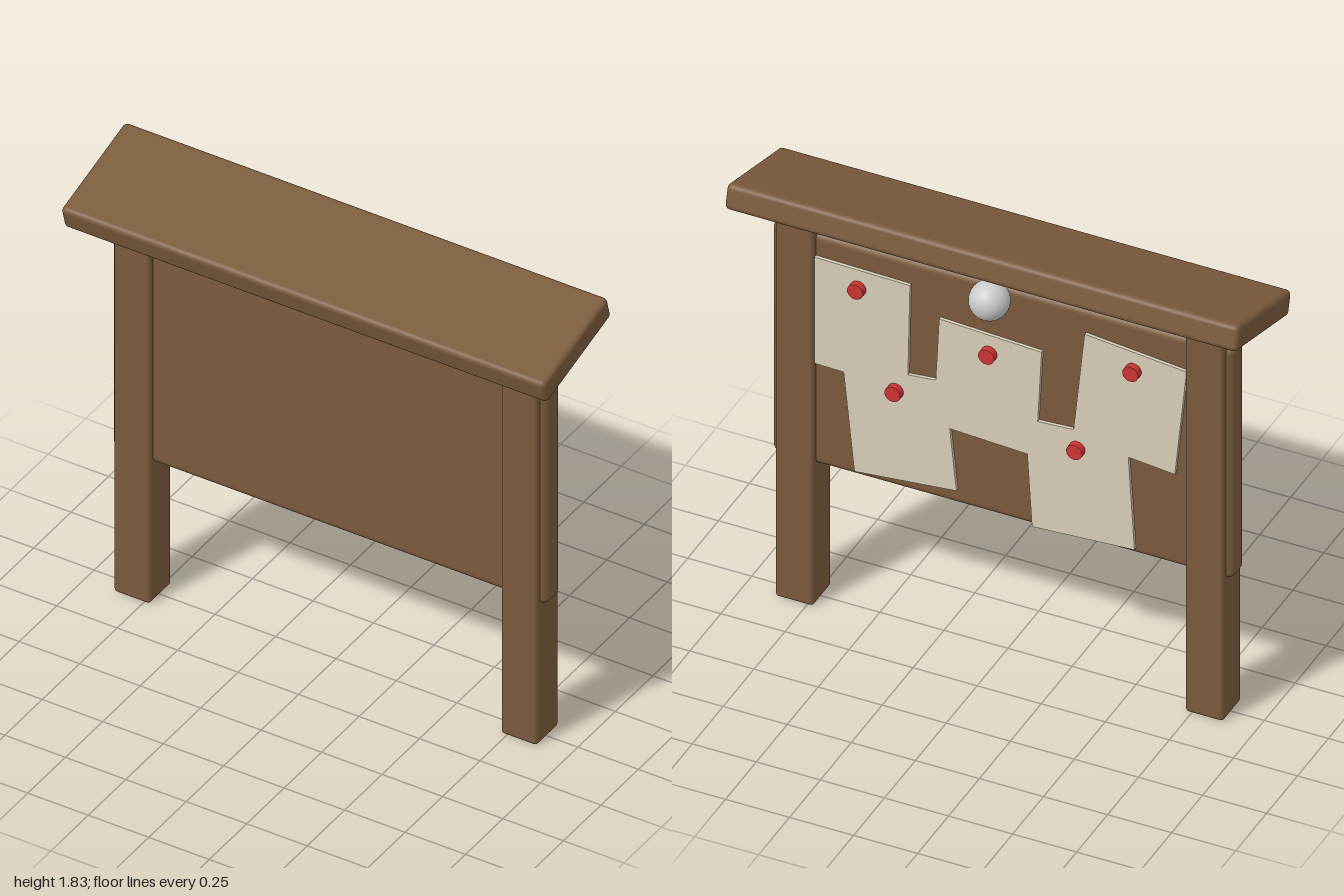
import * as THREE from 'three';
import { RoundedBoxGeometry } from 'three/addons/geometries/RoundedBoxGeometry.js';

export function createModel() {
  const model = new THREE.Group();
  const wood = new THREE.MeshStandardMaterial({ color: 0x7a5a3c });
  const paper = new THREE.MeshStandardMaterial({ color: 0xd8cfb8 });
  const red = new THREE.MeshStandardMaterial({ color: 0xcc3333 });
  const grey = new THREE.MeshStandardMaterial({ color: 0xcccccc });

  const add = (name, geometry, material, x, y, z, parent = model) => {
    const mesh = new THREE.Mesh(geometry, material);
    mesh.name = name;
    mesh.position.set(x, y, z);
    parent.add(mesh);
    return mesh;
  };

  // Two posts carrying the notice board
  const postGeometry = new RoundedBoxGeometry(0.15, 1.7, 0.15, 4, 0.015);
  add('leftPost', postGeometry, wood, 0.8, 0.85, 0);
  add('rightPost', postGeometry, wood, -0.8, 0.85, 0);
  add('board', new RoundedBoxGeometry(1.8, 1, 0.1, 5, 0.03), wood, 0, 1.1, 0);

  // Roof plank, sloping down to the front
  const roof = add('roof', new RoundedBoxGeometry(2, 0.1, 0.45, 4, 0.02), wood, 0, 1.727, 0);
  roof.rotation.x = THREE.MathUtils.degToRad(15);

  // Lamp under the back edge of the roof
  add('lamp', new THREE.SphereGeometry(0.075, 32, 20), grey, 0, 1.605, -0.15);

  // Notices pinned to the back: centre x, centre y, tilt
  const sheetGeometry = new THREE.BoxGeometry(0.4, 0.46, 0.015);
  const pinGeometry = new THREE.CylinderGeometry(0.031, 0.031, 0.03, 20).rotateX(Math.PI / 2);
  const notices = [
    [0.557, 1.275, 0.02],
    [0.05, 1.153, 0.05],
    [-0.505, 1.255, 0.1],
    [0.393, 0.878, -0.1],
    [-0.31, 0.848, -0.06],
  ];
  for (const [x, y, tilt] of notices) {
    const notice = new THREE.Group();
    notice.name = 'notice';
    notice.position.set(x, y, 0);
    notice.rotation.z = tilt;
    add('sheet', sheetGeometry, paper, 0, 0, -0.0555, notice);
    add('pin', pinGeometry, red, 0, 0.152, -0.075, notice);
    model.add(notice);
  }
  return model;
}
